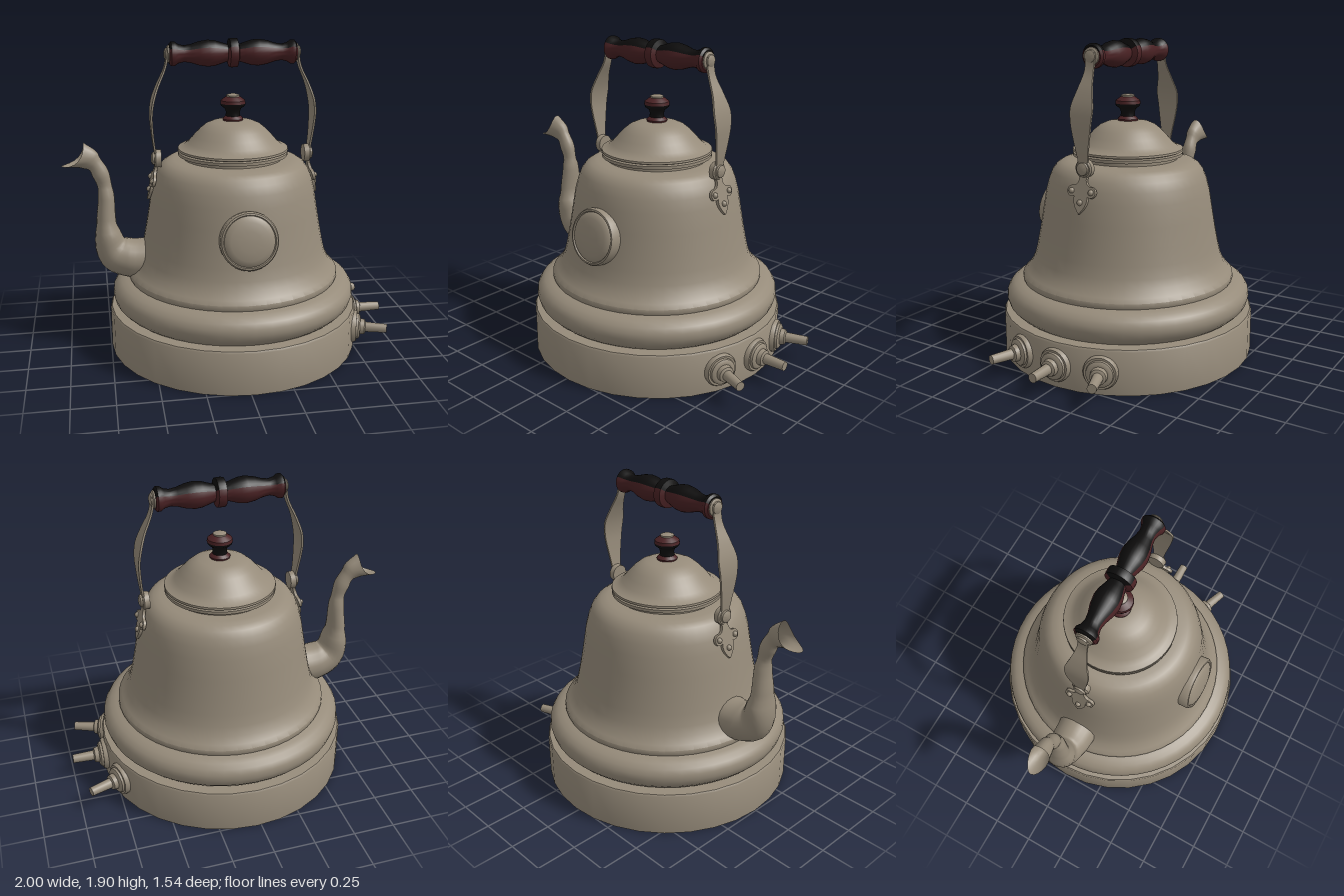
import * as THREE from 'three';
import { toCreasedNormals } from 'three/addons/utils/BufferGeometryUtils.js';

const metal = new THREE.MeshStandardMaterial({ color: 0x968b7a, side: THREE.DoubleSide });
metal.name = 'warm grey metal';
const redWood = new THREE.MeshStandardMaterial({ color: 0x4a2224 });
redWood.name = 'dark red wood';
const blackWood = new THREE.MeshStandardMaterial({ color: 0x0d0c0c });
blackWood.name = 'black wood';

function add(parent, name, geometry, material = metal) {
  const mesh = new THREE.Mesh(geometry, material);
  mesh.name = name;
  parent.add(mesh);
  return mesh;
}

// Turned part from [radius, height] pairs, listed bottom to top
function turned(profile, sides = 32, start = 0, length = Math.PI * 2) {
  const points = profile.map(([r, y]) => new THREE.Vector2(r, y));
  return toCreasedNormals(new THREE.LatheGeometry(points, sides, start, length), 0.7);
}

// Skin over rings of points that run counter-clockwise about the path
function loft(rings, capped) {
  const n = rings[0].length, index = [];
  for (let i = 0; i < rings.length - 1; i++) {
    for (let j = 0; j < n; j++) {
      const k = (j + 1) % n, a = i * n, b = a + n;
      index.push(a + j, a + k, b + j, a + k, b + k, b + j);
    }
  }
  if (capped) {
    const e = (rings.length - 1) * n;
    for (let j = 1; j < n - 1; j++) index.push(0, j + 1, j, e, e + j, e + j + 1);
  }
  const g = new THREE.BufferGeometry();
  g.setAttribute('position', new THREE.Float32BufferAttribute(rings.flat(2), 3));
  g.setIndex(index);
  g.computeVertexNormals();
  return g;
}

// Bent spout with a beaked mouth
function spoutGeometry() {
  // x, y, direction in degrees, half height, half width
  const sections = [
    [-0.47, 0.575, 180, 0.122, 0.13], [-0.62, 0.578, 176, 0.12, 0.122],
    [-0.718, 0.628, 135, 0.105, 0.1], [-0.75, 0.8, 92, 0.06, 0.08],
    [-0.747, 1.0, 92, 0.047, 0.052], [-0.773, 1.115, 112, 0.05, 0.045],
    [-0.825, 1.197, 138, 0.062, 0.045], [-0.933, 1.24, 136, 0.097, 0.06],
  ];
  const path = new THREE.CatmullRomCurve3(sections.map(s => new THREE.Vector3(s[0], s[1], 0)));
  const sizes = new THREE.CatmullRomCurve3(
    sections.map(s => new THREE.Vector3(THREE.MathUtils.degToRad(s[2]), s[3], s[4])));
  const rings = [];
  for (let i = 0; i <= 35; i++) {
    const u = i / 35, c = path.getPoint(u), { x: t, y: h, z: w } = sizes.getPoint(u);
    const dip = 0.045 * Math.max(0, (u - 0.86) / 0.14);
    const ring = [];
    for (let j = 0; j < 20; j++) {
      const a = j / 20 * Math.PI * 2, back = dip * Math.sin(a) ** 2;
      ring.push([
        c.x + Math.sin(t) * h * Math.cos(a) - Math.cos(t) * back,
        c.y - Math.cos(t) * h * Math.cos(a) - Math.sin(t) * back,
        -w * Math.sin(a),
      ]);
    }
    rings.push(ring);
  }
  return loft(rings, false);
}

// Bowed metal strap that swells in the middle
function strapGeometry() {
  // x, y, half width
  const sections = [
    [0.465, 1.19, 0.028], [0.478, 1.28, 0.038], [0.488, 1.38, 0.056], [0.491, 1.46, 0.068],
    [0.48, 1.54, 0.073], [0.45, 1.63, 0.05], [0.405, 1.73, 0.03], [0.392, 1.79, 0.03], [0.392, 1.84, 0.03],
  ];
  const curve = new THREE.CatmullRomCurve3(sections.map(s => new THREE.Vector3(...s)));
  const rings = curve.getPoints(32).map(({ x, y, z: w }) => {
    const t = 0.006;
    return [[x - t, y, w], [x + t, y, w], [x + t, y, -w], [x - t, y, -w]];
  });
  return toCreasedNormals(loft(rings, true), 0.6);
}

// Trefoil mounting plate, hung from its pivot
function bracketGeometry() {
  const s = new THREE.Shape();
  s.moveTo(0.03, 0.02);
  s.lineTo(0.024, -0.07);
  s.quadraticCurveTo(0.03, -0.105, 0.06, -0.105);
  s.absarc(0.062, -0.137, 0.032, Math.PI / 2, -Math.PI * 0.7, true);
  s.quadraticCurveTo(0.055, -0.21, 0, -0.265);
  s.quadraticCurveTo(-0.055, -0.21, -0.043, -0.163);
  s.absarc(-0.062, -0.137, 0.032, -Math.PI * 0.3, Math.PI / 2, true);
  s.quadraticCurveTo(-0.03, -0.105, -0.024, -0.07);
  s.lineTo(-0.03, 0.02);
  const g = new THREE.ExtrudeGeometry(s, { depth: 0.018, bevelEnabled: false, curveSegments: 8 });
  return g.rotateY(Math.PI / 2);
}

export function createModel() {
  const model = new THREE.Group();
  model.name = 'kettle';
  const kettle = new THREE.Group();
  kettle.name = 'kettleBody';
  kettle.position.x = 0.025;
  model.add(kettle);

  // Base, bulging collar, bell body and lid
  add(kettle, 'base', turned([[0, 0], [0.77, 0], [0.77, 0.255], [0.762, 0.266], [0.69, 0.27]]));
  add(kettle, 'collar', turned([[0.69, 0.265], [0.715, 0.285], [0.738, 0.31], [0.75, 0.35], [0.746, 0.385],
    [0.728, 0.415], [0.7, 0.437], [0.67, 0.448], [0.645, 0.455]], 48));
  add(kettle, 'bellBody', turned([[0.645, 0.45], [0.65, 0.465], [0.648, 0.487], [0.625, 0.51], [0.595, 0.55],
    [0.573, 0.6], [0.556, 0.67], [0.536, 0.77], [0.517, 0.88], [0.497, 1.0], [0.478, 1.07], [0.458, 1.12],
    [0.432, 1.155], [0.4, 1.175], [0.36, 1.185], [0.3, 1.188]], 48));
  add(kettle, 'lid', turned([[0.3, 1.185], [0.3, 1.205], [0.332, 1.21], [0.332, 1.228], [0.318, 1.234],
    [0.334, 1.24], [0.332, 1.252], [0.3, 1.262], [0.27, 1.285], [0.235, 1.325], [0.2, 1.362], [0.165, 1.39],
    [0.125, 1.407], [0.07, 1.415], [0, 1.418]], 48));

  // Lid knob in wooden bands with a metal cap
  add(kettle, 'knobFoot', turned([[0, 1.41], [0.06, 1.412], [0.062, 1.425], [0.05, 1.437], [0.044, 1.442]], 20), redWood);
  add(kettle, 'knobNeck', turned([[0.044, 1.442], [0.042, 1.465], [0.048, 1.485], [0.072, 1.503], [0.076, 1.517]], 20), blackWood);
  add(kettle, 'knobTop', turned([[0.076, 1.517], [0.073, 1.535], [0.05, 1.552], [0.036, 1.56]], 20), redWood);
  add(kettle, 'knobCap', turned([[0.04, 1.553], [0.04, 1.566], [0.025, 1.572], [0, 1.573]], 20));

  add(model, 'spout', spoutGeometry());

  // Round medallion leaning with the body
  const medallion = add(kettle, 'medallion', turned([[0.165, -0.06], [0.168, 0.015], [0.16, 0.03], [0.15, 0.032],
    [0.145, 0.024], [0.138, 0.032], [0.11, 0.042], [0.06, 0.048], [0, 0.05]], 36));
  medallion.rotation.x = Math.PI / 2 - 0.19;
  medallion.position.set(0, 0.83, 0.533);

  // Turned grip, dark along the top
  const half = [[0.085, 0.012], [0.083, 0.024], [0.05, 0.034], [0.06, 0.065], [0.074, 0.11], [0.078, 0.15], [0.07, 0.2],
    [0.054, 0.25], [0.048, 0.29], [0.056, 0.325], [0.07, 0.345], [0.071, 0.365], [0.058, 0.377], [0, 0.378]];
  const grip = [...half.map(([r, y]) => [r, -y]).reverse(), ...half];
  const handle = new THREE.Group();
  handle.name = 'handle';
  handle.position.y = 1.815;
  handle.rotation.z = -Math.PI / 2;
  kettle.add(handle);
  const dark = 1.05;
  add(handle, 'gripTop', turned(grip, 10, -Math.PI / 2 - dark, dark * 2), blackWood);
  add(handle, 'gripUnderside', turned(grip, 18, -Math.PI / 2 + dark, Math.PI * 2 - dark * 2), redWood);

  // Straps, pivots and brackets on both sides
  for (const [name, turn] of [['left', 0], ['right', Math.PI]]) {
    const side = new THREE.Group();
    side.name = name + 'HandleMount';
    side.rotation.y = turn;
    kettle.add(side);
    add(side, 'strap', strapGeometry());
    const endCap = add(side, 'gripEndCap', turned([[0.05, -0.02], [0.05, 0], [0.042, 0.006], [0.036, 0.006],
      [0.034, 0.015], [0.02, 0.021], [0, 0.022]], 20));
    endCap.rotation.z = -Math.PI / 2;
    endCap.position.set(0.385, 1.815, 0);
    const pivot = add(side, 'pivot', turned([[0, -0.03], [0.052, -0.028], [0.055, 0.005], [0.046, 0.013],
      [0.038, 0.013], [0.036, 0.024], [0.02, 0.031], [0, 0.032]], 20));
    pivot.rotation.z = -Math.PI / 2;
    pivot.position.set(0.465, 1.197, 0);
    const bracket = new THREE.Group();
    bracket.name = 'bracket';
    bracket.position.set(0.445, 1.2, 0);
    bracket.rotation.z = 0.25;
    side.add(bracket);
    add(bracket, 'bracketPlate', bracketGeometry());
    for (const [y, z] of [[-0.137, 0.065], [-0.137, -0.065], [-0.2, 0]]) {
      const rivet = add(bracket, 'rivet', new THREE.SphereGeometry(0.017, 12, 8));
      rivet.position.set(0.018, y, z);
    }
  }

  // Three control knobs fanned around the base
  for (const angle of [-0.36, 0, 0.36]) {
    const control = new THREE.Group();
    control.name = 'controlKnob';
    control.position.y = 0.135;
    control.rotation.y = angle;
    kettle.add(control);
    const dial = add(control, 'dial', turned([[0.098, 0.7], [0.1, 0.775], [0.092, 0.79], [0.08, 0.79], [0.077, 0.803],
      [0.062, 0.812], [0.05, 0.812], [0.046, 0.838], [0.03, 0.845], [0, 0.846]], 24));
    dial.rotation.z = -Math.PI / 2;
    const lever = add(control, 'lever', new THREE.CylinderGeometry(0.027, 0.032, 0.145, 14));
    lever.rotation.z = -Math.PI / 2;
    lever.position.x = 0.9025;
  }
  return model;
}
